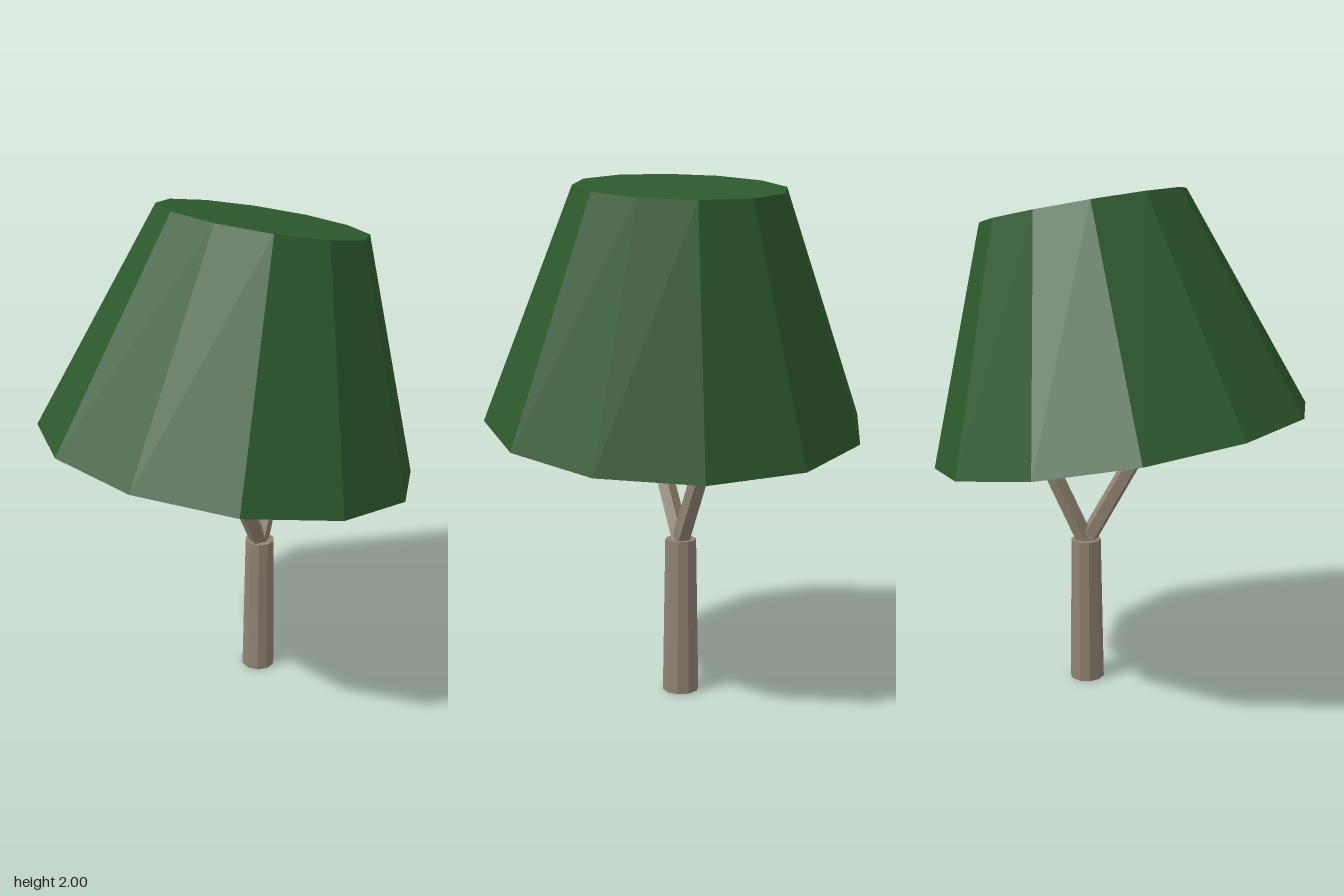
import * as THREE from 'three';

export function createModel() {
  const bark = new THREE.MeshStandardMaterial({ color: 0x8f8272 });
  bark.name = 'bark';
  const leaf = new THREE.MeshStandardMaterial({ color: 0x2d5a2d });
  leaf.name = 'leaf green';

  const tree = new THREE.Group();
  tree.name = 'tree';
  const trunkX = 0.16;

  // Faceted tapered cylinder
  function taper(name, material, rTop, rBottom, height, sides) {
    const geometry = new THREE.CylinderGeometry(rTop, rBottom, height, sides).toNonIndexed();
    geometry.computeVertexNormals();
    const mesh = new THREE.Mesh(geometry, material);
    mesh.name = name;
    tree.add(mesh);
    return mesh;
  }

  // Trunk
  taper('trunk', bark, 0.06, 0.07, 0.6, 10).position.set(trunkX, 0.3, 0);

  // Two forked branches, leaning out of the trunk into the crown
  const branches = [
    { name: 'rightBranch', lean: 0.51, yaw: 0.37 },
    { name: 'leftBranch', lean: 0.42, yaw: 0.48 + Math.PI },
  ];
  for (const { name, lean, yaw } of branches) {
    const branch = taper(name, bark, 0.035, 0.037, 0.65, 5);
    branch.geometry.translate(0, 0.325, 0);
    branch.position.set(trunkX, 0.59, 0);
    branch.rotation.set(0, yaw, lean, 'YXZ');
  }

  // Tilted crown
  const crown = taper('crown', leaf, 0.4, 0.74, 0.894, 12);
  crown.position.set(0.08, 1.49, 0);
  crown.rotation.z = -0.18;

  return tree;
}
